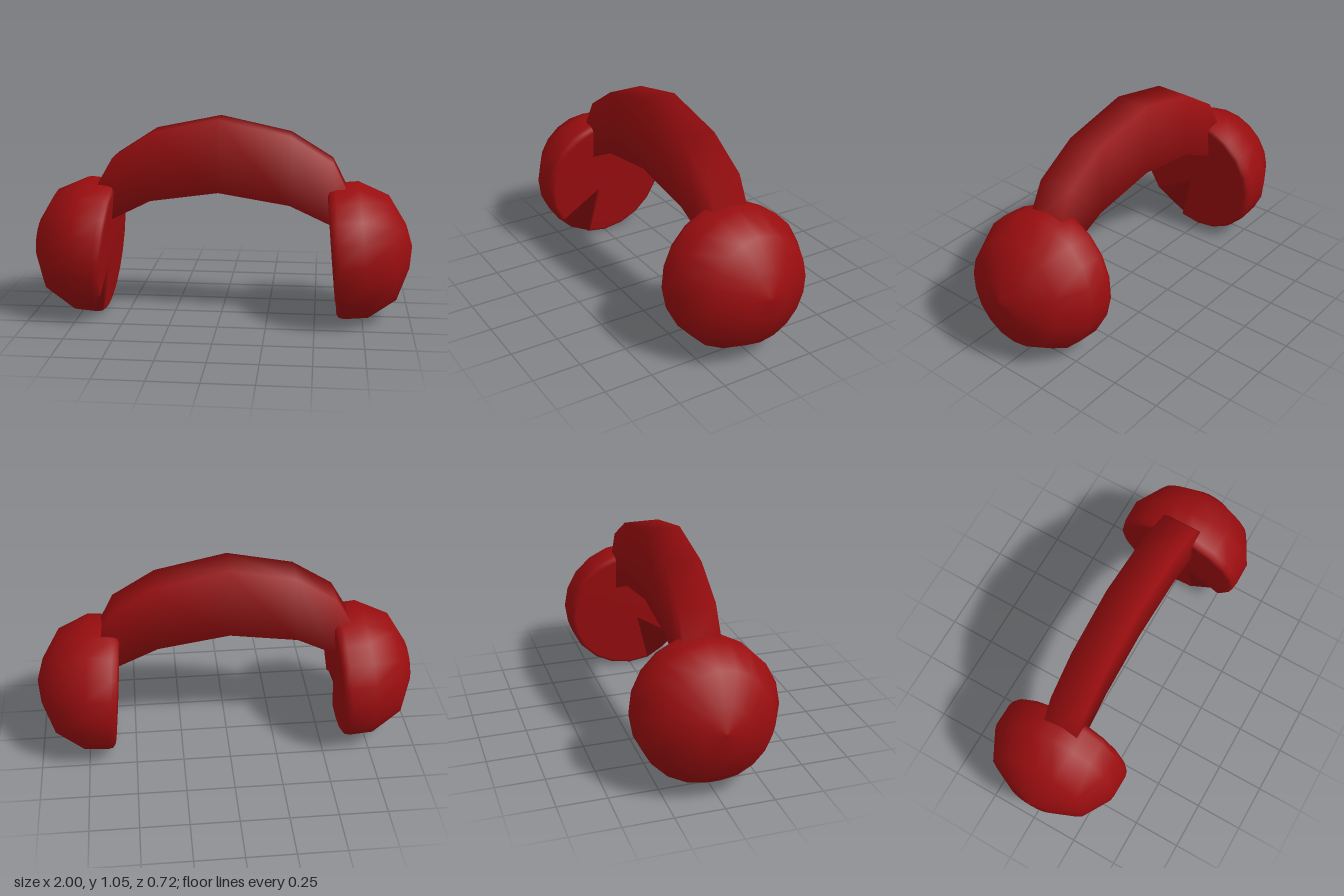
import * as THREE from 'three';

const material = new THREE.MeshStandardMaterial({ color: 0x990d0f });
const TILT = 0.093;

// Ear cup: a 20-sided dome turned on its axis, with a wedge-shaped dent in the inner face
function makeCup(side) {
  const profile = [
    [0, 0], [0.333, 0], [0.352, 0.012], [0.36, 0.04], [0.36, 0.163],
    [0.276, 0.315], [0.118, 0.393], [0, 0.417],
  ].map(([r, h]) => new THREE.Vector2(r, h));
  const geometry = new THREE.LatheGeometry(profile, 20);
  const pos = geometry.attributes.position;
  const column = side > 0 ? 3 : 17;
  for (const [row, height] of [[1, 0.01], [2, 0.04]]) {
    const i = column * profile.length + row;
    pos.setXYZ(i, pos.getX(i) * 0.2, height, pos.getZ(i) * 0.2);
  }
  const cup = new THREE.Mesh(geometry, material);
  cup.name = side > 0 ? 'leftEarCup' : 'rightEarCup';
  cup.position.set(side * 0.585, 0.36, 0);
  cup.rotation.z = -side * (Math.PI / 2 - TILT);
  return cup;
}

// Headband: a rectangular section swept through stations along the arch
function makeBand() {
  const stations = [ // outer x, y, inner x, y
    [-0.69, 0.63, -0.63, 0.495],
    [-0.56, 0.855, -0.555, 0.535],
    [-0.35, 0.99, -0.365, 0.63],
    [-0.01, 1.06, -0.01, 0.68],
    [0.36, 0.98, 0.36, 0.62],
    [0.58, 0.845, 0.555, 0.53],
    [0.69, 0.63, 0.63, 0.495],
  ];
  const d = 0.094;
  const vertices = [];
  const index = [];
  stations.forEach(([ox, oy, ix, iy], s) => {
    vertices.push(ox, oy, d, ox, oy, -d, ix, iy, -d, ix, iy, d);
    if (s === 0) return;
    for (let k = 0; k < 4; k++) {
      const a = (s - 1) * 4 + k, b = (s - 1) * 4 + (k + 1) % 4;
      index.push(a, a + 4, b, b, a + 4, b + 4);
    }
  });
  // end caps
  const e = (stations.length - 1) * 4;
  index.push(0, 1, 2, 0, 2, 3, e, e + 2, e + 1, e, e + 3, e + 2);
  const geometry = new THREE.BufferGeometry();
  geometry.setAttribute('position', new THREE.Float32BufferAttribute(vertices, 3));
  geometry.setIndex(index);
  geometry.computeVertexNormals();
  const band = new THREE.Mesh(geometry, material);
  band.name = 'headband';
  return band;
}

export function createModel() {
  const group = new THREE.Group();
  group.name = 'earmuffs';
  group.add(makeBand(), makeCup(1), makeCup(-1));
  return group;
}
